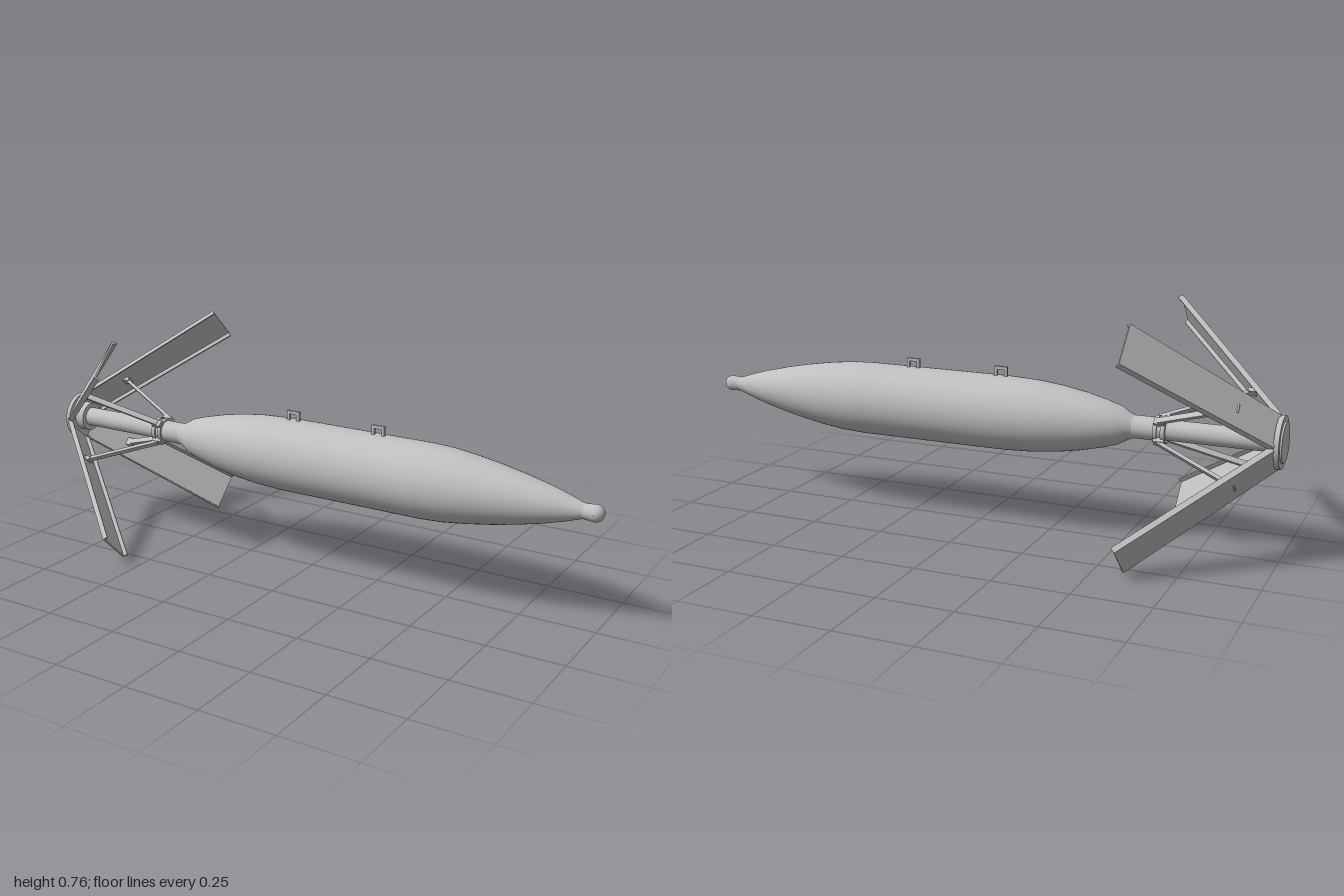
import * as THREE from 'three';

const AXIS_Y = 0.385;

export function createModel() {
  const root = new THREE.Group();
  const grey = new THREE.MeshStandardMaterial({ color: 0xc0c0c0 });
  grey.name = 'light grey';

  // Everything hangs on one axis along x
  const assembly = new THREE.Group();
  assembly.name = 'assembly';
  assembly.position.y = AXIS_Y;
  root.add(assembly);

  const add = (name, geometry, parent = assembly) => {
    const mesh = new THREE.Mesh(geometry, grey);
    mesh.name = name;
    parent.add(mesh);
    return mesh;
  };
  // Surface of revolution about x from [x, radius] pairs
  const turned = (pairs) =>
    new THREE.LatheGeometry(pairs.map(([x, r]) => new THREE.Vector2(r, x)), 48).rotateZ(-Math.PI / 2);
  // Closed cylinder about x
  const rod = (x0, x1, r0, r1 = r0) =>
    new THREE.CylinderGeometry(r1, r0, x1 - x0, 40).rotateZ(-Math.PI / 2).translate((x0 + x1) / 2, 0, 0);

  // Streamlined body
  add('rearBody', turned([
    [-0.53, 0.036], [-0.51, 0.044], [-0.48, 0.062], [-0.43, 0.077], [-0.36, 0.094],
    [-0.28, 0.108], [-0.2, 0.117], [-0.1, 0.1215], [-0.04, 0.122], [0.42, 0.122],
  ]));
  add('noseCone', turned([
    [0.42, 0.122], [0.5, 0.118], [0.58, 0.108], [0.66, 0.095], [0.74, 0.079],
    [0.82, 0.06], [0.88, 0.043], [0.93, 0.026], [0.95, 0.022],
  ]));
  add('fuzeNeck', rod(0.935, 0.974, 0.024, 0.027));
  add('fuzeTip', new THREE.SphereGeometry(0.027, 32, 20).translate(0.973, 0, 0));

  // Tail boom with collar and end plate
  add('tailBoom', rod(-0.99, -0.5, 0.033));
  add('boomSleeve', rod(-0.6, -0.52, 0.037));
  add('collarRear', rod(-0.636, -0.622, 0.044));
  add('collarMiddle', rod(-0.622, -0.61, 0.039));
  add('collarFront', rod(-0.61, -0.598, 0.044));
  add('hingeHub', rod(-0.98, -0.945, 0.05));
  add('endPlate', rod(-0.994, -0.978, 0.083));
  add('endCap', rod(-1, -0.99, 0.064));

  // Fin: shallow channel swept from root to tip, widening outward
  const start = new THREE.Vector2(-0.982, 0.065);
  const tip = new THREE.Vector2(-0.592, 0.468);
  const length = start.distanceTo(tip);
  const dir = tip.clone().sub(start).normalize();
  const section = new THREE.Shape([
    [-0.069, 0], [0.069, 0], [0.073, 0.018], [0.068, 0.018], [0.064, 0.006],
    [-0.064, 0.006], [-0.068, 0.018], [-0.073, 0.018],
  ].map(([t, n]) => new THREE.Vector2(t, n)));
  const finGeometry = new THREE.ExtrudeGeometry(section, { depth: length, bevelEnabled: false });
  const pos = finGeometry.attributes.position;
  for (let i = 0; i < pos.count; i++) {
    pos.setX(i, pos.getX(i) * THREE.MathUtils.lerp(0.84, 1, pos.getZ(i) / length));
  }
  finGeometry.computeVertexNormals();
  finGeometry.applyMatrix4(new THREE.Matrix4().makeBasis(
    new THREE.Vector3(0, 0, 1),
    new THREE.Vector3(dir.y, -dir.x, 0),
    new THREE.Vector3(dir.x, dir.y, 0),
  ).setPosition(start.x, start.y, 0));

  // Strut from the collar back to the fin
  const a = new THREE.Vector2(-0.615, 0.05);
  const b = new THREE.Vector2(-0.872, 0.17);
  const strutGeometry = new THREE.BoxGeometry(a.distanceTo(b), 0.011, 0.019)
    .rotateZ(Math.atan2(a.y - b.y, a.x - b.x))
    .translate((a.x + b.x) / 2, (a.y + b.y) / 2, 0);

  for (let i = 0; i < 4; i++) {
    const unit = new THREE.Group();
    unit.name = 'finUnit';
    unit.rotation.x = Math.PI / 4 + (i * Math.PI) / 2;
    add('fin', finGeometry, unit);
    add('strut', strutGeometry, unit);
    add('collarLug', new THREE.BoxGeometry(0.034, 0.02, 0.024).translate(-0.617, 0.042, 0), unit);
    add('strutBracket', new THREE.BoxGeometry(0.025, 0.014, 0.028).translate(-0.868, 0.168, 0), unit);
    assembly.add(unit);
  }

  // Suspension lugs: square loops on top
  const loop = new THREE.Shape([[-0.023, 0.115], [0.023, 0.115], [0.023, 0.153], [-0.023, 0.153]]
    .map(([x, y]) => new THREE.Vector2(x, y)));
  loop.holes.push(new THREE.Path([[-0.013, 0.12], [-0.013, 0.143], [0.013, 0.143], [0.013, 0.12]]
    .map(([x, y]) => new THREE.Vector2(x, y))));
  const lugGeometry = new THREE.ExtrudeGeometry(loop, { depth: 0.01, bevelEnabled: false })
    .translate(0, 0, -0.005);
  for (const x of [-0.072, 0.246]) add('suspensionLug', lugGeometry).position.x = x;

  return root;
}
